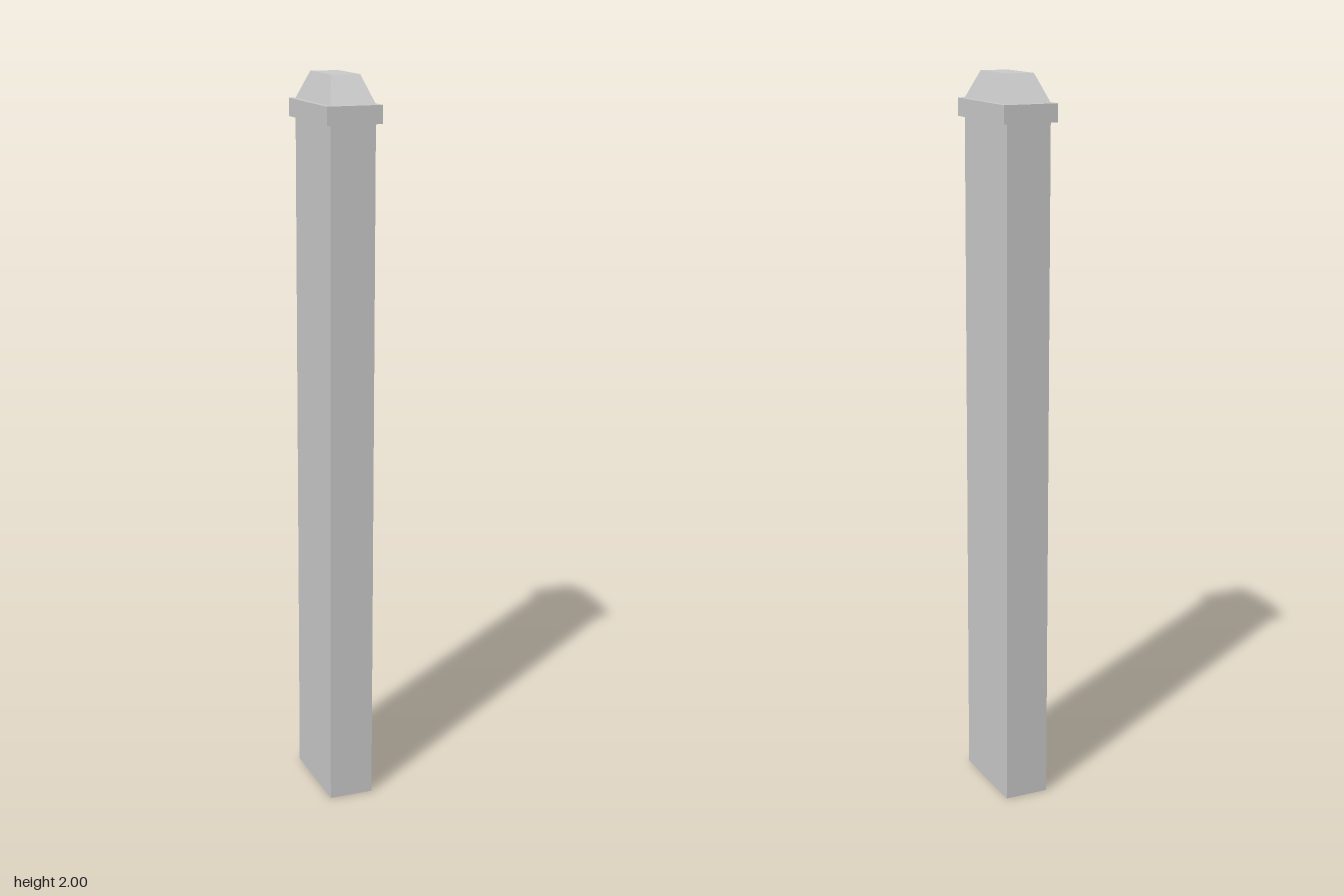
import * as THREE from 'three';

const material = new THREE.MeshStandardMaterial({
  color: 0xcccccc, flatShading: true, side: THREE.DoubleSide,
});

// Rectangular shell through a list of [halfWidth, y, halfDepth] rings, bottom to top
function shell(name, rings, closeTop = false) {
  const pos = [];
  const corner = ([w, y, d], i) => [[w, y, d], [w, y, -d], [-w, y, -d], [-w, y, d]][i % 4];
  const quad = (a, b, c, d) => pos.push(...a, ...b, ...c, ...a, ...c, ...d);
  for (let r = 0; r < rings.length - 1; r++) {
    for (let i = 0; i < 4; i++) {
      quad(corner(rings[r], i), corner(rings[r], i + 1),
        corner(rings[r + 1], i + 1), corner(rings[r + 1], i));
    }
  }
  const top = rings[rings.length - 1];
  if (closeTop) quad(corner(top, 0), corner(top, 1), corner(top, 2), corner(top, 3));
  const geometry = new THREE.BufferGeometry();
  geometry.setAttribute('position', new THREE.Float32BufferAttribute(pos, 3));
  geometry.computeVertexNormals();
  const mesh = new THREE.Mesh(geometry, material);
  mesh.name = name;
  return mesh;
}

export function createModel() {
  const post = new THREE.Group();
  post.name = 'post';
  const W = 0.062, D = 0.131;      // shaft half sizes
  const CW = 0.076, CD = 0.144;    // collar half sizes
  const y1 = 1.879, y2 = 1.927;    // collar bottom and top

  // Hollow shaft, open underneath
  post.add(shell('shaft', [[W, 0, D], [W, y1, D]]));
  // Collar with a ledge below and above
  post.add(shell('collar', [[W, y1, D], [CW, y1, CD], [CW, y2, CD], [W, y2, D]]));
  // Tapered cap with a flat top
  post.add(shell('cap', [[W, y2, D], [0.039, 2, 0.079]], true));
  return post;
}
